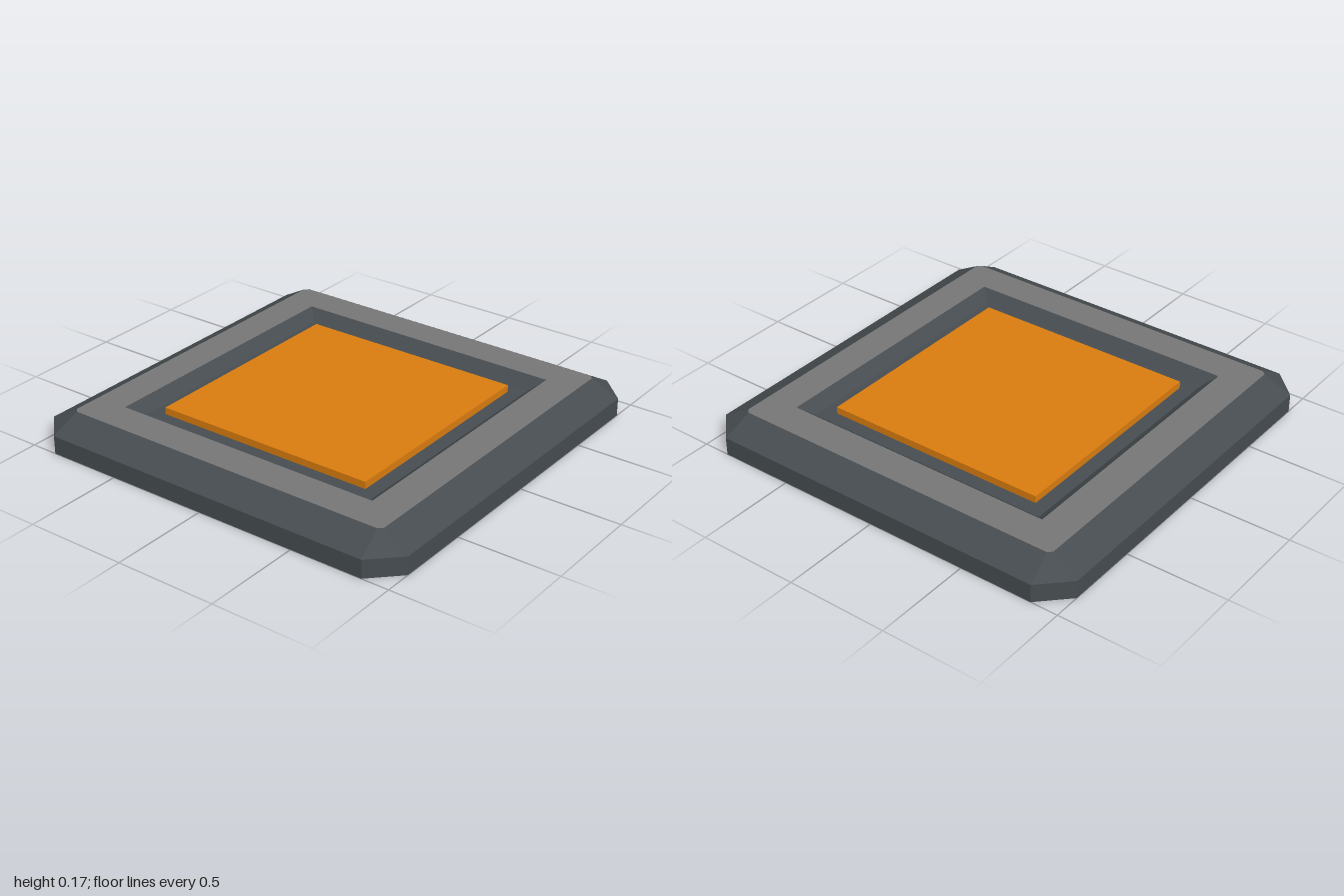
import * as THREE from 'three';

const mat = (name, color) => {
  const m = new THREE.MeshStandardMaterial({ color });
  m.name = name;
  return m;
};

// Square outline with cut corners: half width h, corner cut c, height y
function outline(h, c, y) {
  const k = h - c;
  return [[h, -k], [h, k], [k, h], [-k, h], [-h, k], [-h, -k], [-k, -h], [k, -h]]
    .map(([x, z]) => [x, y, z]);
}

// Flat-sided skin through successive outlines; optionally closes the last one
function loft(rings, capLast = false) {
  const pos = [];
  for (let r = 0; r + 1 < rings.length; r++) {
    const a = rings[r], b = rings[r + 1];
    for (let i = 0; i < 8; i++) {
      const j = (i + 1) % 8;
      pos.push(...a[i], ...b[i], ...b[j], ...a[i], ...b[j], ...a[j]);
    }
  }
  if (capLast) {
    const e = rings[rings.length - 1];
    for (let i = 1; i < 7; i++) pos.push(...e[0], ...e[i + 1], ...e[i]);
  }
  const g = new THREE.BufferGeometry();
  g.setAttribute('position', new THREE.Float32BufferAttribute(pos, 3));
  g.computeVertexNormals();
  return g;
}

export function createModel() {
  const group = new THREE.Group();
  group.name = 'floorPlate';
  const dark = mat('darkSlate', 0x464c50);
  const grey = mat('rimGrey', 0x767676);
  const orange = mat('orange', 0xd87b0e);

  const add = (name, geometry, material) => {
    const mesh = new THREE.Mesh(geometry, material);
    mesh.name = name;
    group.add(mesh);
    return mesh;
  };

  const top = 0.165, floor = 0.115;
  const base = outline(1, 0.135, 0);
  const shoulder = outline(1, 0.135, 0.09);
  const rimOuter = outline(0.865, 0.02, top);
  const rimInner = outline(0.7, 0, top);

  // Upright sides and sloping bevel
  add('outerFrame', loft([base, shoulder, rimOuter]), dark);

  // Underside, facing down
  const under = loft([outline(0.5, 0.0675, 0), base].reverse(), true);
  under.scale(1, -1, 1);
  const index = [];
  for (let i = 0; i < under.attributes.position.count; i += 3) index.push(i, i + 2, i + 1);
  under.setIndex(index);
  const bottom = under.toNonIndexed();
  bottom.computeVertexNormals();
  add('underside', bottom, dark);

  // Flat rim around the recess
  add('topRim', loft([rimOuter, rimInner]), grey);

  // Sloping recess walls and floor
  add('recess', loft([rimInner, outline(0.64, 0, floor)], true), dark);

  // Raised centre panel
  add('centrePanel', new THREE.BoxGeometry(1.14, 0.035, 1.14), orange)
    .position.y = floor + 0.0175;

  return group;
}
